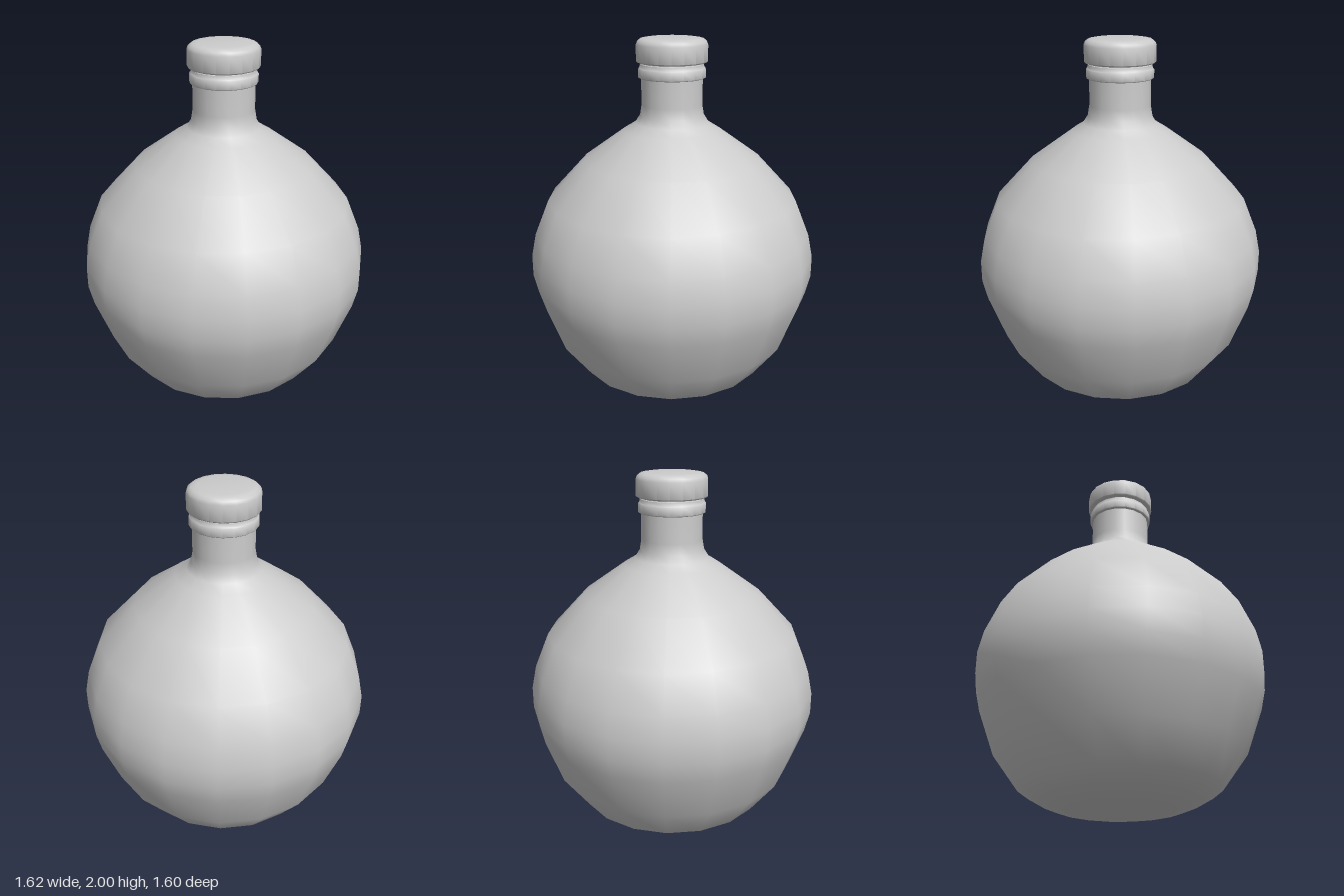
import * as THREE from 'three';
import { toCreasedNormals } from 'three/addons/utils/BufferGeometryUtils.js';

const SIDES = 18;
const material = new THREE.MeshStandardMaterial({ color: 0xcccccc });

// Revolve a [radius, height] profile (bottom to top), with a corner on +x
function turned(name, profile, creased) {
  const points = profile.map(([r, y]) => new THREE.Vector2(r, y));
  let geometry = new THREE.LatheGeometry(points, SIDES, Math.PI / 2);
  if (creased) geometry = toCreasedNormals(geometry, 0.8);
  const mesh = new THREE.Mesh(geometry, material);
  mesh.name = name;
  return mesh;
}

export function createModel() {
  const group = new THREE.Group();
  group.name = 'bottle';

  // Round belly, sloping shoulder and straight neck in one smooth surface
  group.add(turned('body', [
    [0, 0], [0.29, 0], [0.36, 0.013], [0.44, 0.045], [0.545, 0.105],
    [0.69, 0.3], [0.785, 0.555], [0.812, 0.67], [0.812, 0.79], [0.785, 0.92],
    [0.705, 1.115], [0.5, 1.335], [0.27, 1.5], [0.205, 1.54], [0.18, 1.58],
    [0.17, 1.64], [0.17, 1.88],
  ]));

  // Raised band with a slightly narrower step above it
  group.add(turned('neckRing', [
    [0.165, 1.787], [0.182, 1.787], [0.186, 1.791], [0.186, 1.835],
    [0.182, 1.84], [0.178, 1.845], [0.176, 1.862], [0.165, 1.866],
  ], true));

  // Stopper with a rounded top edge
  group.add(turned('cap', [
    [0, 1.87], [0.19, 1.87], [0.197, 1.877], [0.197, 1.965],
    [0.19, 1.982], [0.172, 1.995], [0.14, 2], [0, 2],
  ], true));

  return group;
}
